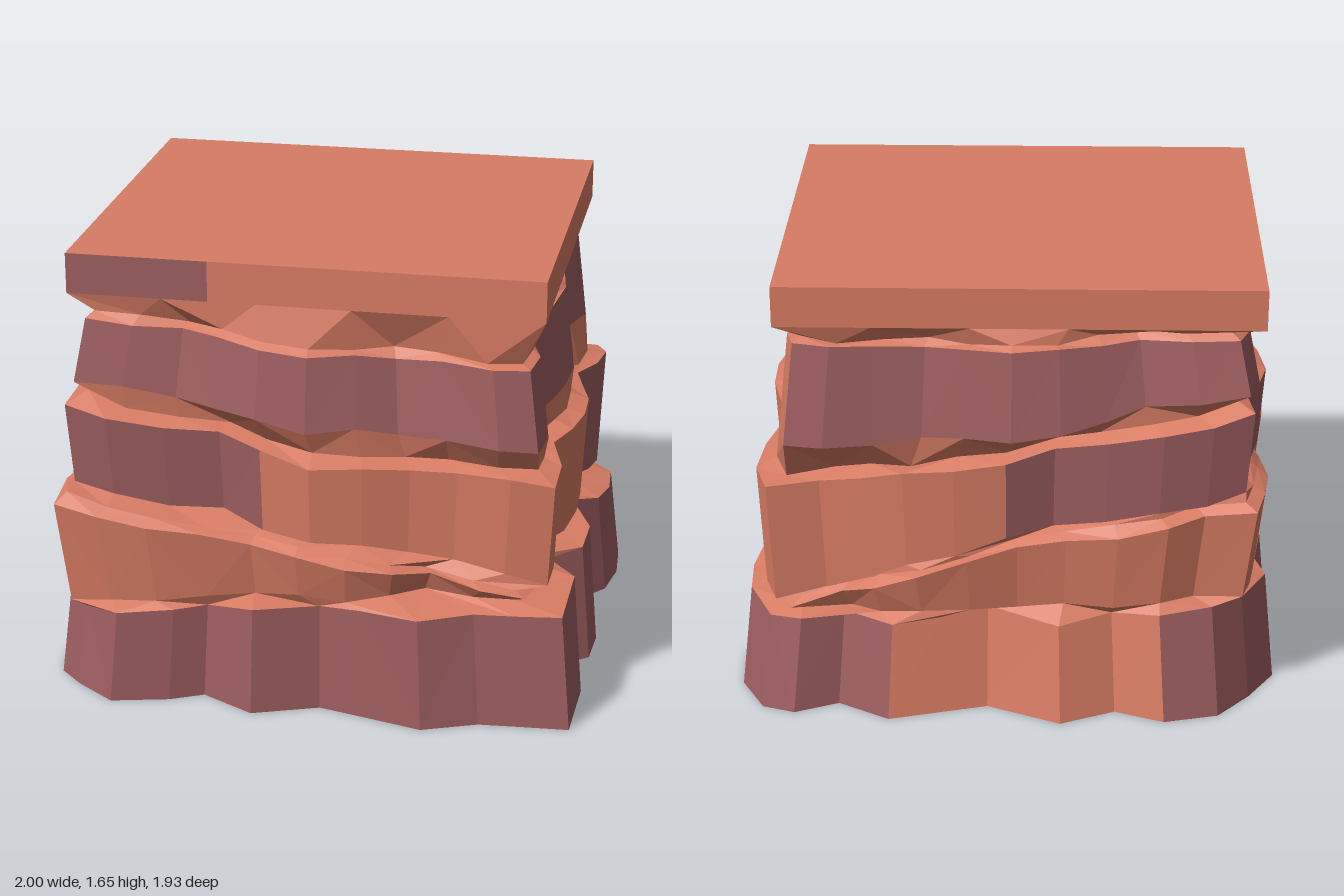
import * as THREE from 'three';

const N = 40; // points round the block, ten per side, starting at the front corner on -x
const orange = new THREE.MeshStandardMaterial({ color: 0xd87c64, flatShading: true, side: THREE.DoubleSide });
const purple = new THREE.MeshStandardMaterial({ color: 0x9e5e60, flatShading: true, side: THREE.DoubleSide });

// Footprint at the ground, x and z in turn
const foot = [
  -.88, .84, -.73, .95, -.52, .90, -.40, .84, -.20, .95, .04, .86, .20, .90, .43, .96, .63, .88, .78, .87,
  .96, .86, .97, .55, .85, .37, .97, .27, .98, .10, .92, -.03, .87, -.22, .97, -.35, 1, -.52, .99, -.70,
  .90, -.87, .78, -.91, .62, -.84, .43, -.95, .25, -.90, .07, -.85, -.20, -.97, -.40, -.88, -.58, -.95, -.78, -.90,
  -.90, -.76, -1, -.60, -.94, -.40, -1, -.23, -.96, -.08, -.91, .05, -1, .27, -.91, .40, -1, .60, -.97, .75];

let seed = 11;
const rand = () => (seed = (seed * 16807) % 2147483647) / 2147483647;
const jitter = (a) => (rand() - 0.5) * 2 * a;

// Value at point i from eight keys: corner, side middle, corner, ...
function keyed(keys, i) {
  const k = i / 5, a = Math.floor(k);
  return THREE.MathUtils.lerp(keys[a], keys[(a + 1) % 8], k - a);
}

// Point i on a rectangle [x0, x1, z0, z1], moved inward by depth
function onRect([x0, x1, z0, z1], i, depth) {
  const side = Math.floor(i / 10), t = (i % 10) / 10, mix = THREE.MathUtils.lerp;
  const X0 = x0 + depth, X1 = x1 - depth, Z0 = z0 + depth, Z1 = z1 - depth;
  return [[mix(X0, X1, t), Z1], [X1, mix(Z1, Z0, t)], [mix(X1, X0, t), Z0], [X0, mix(Z0, Z1, t)]][side];
}

function ring(fn) {
  return Array.from({ length: N }, (_, i) => fn(i));
}

// Band of faces between two rings; isDark picks which columns are purple
function addBand(group, name, low, high, isDark) {
  const parts = { Purple: [], Orange: [] };
  for (let i = 0; i < N; i++) {
    const j = (i + 1) % N, a = low[i], b = low[j], c = high[j], d = high[i];
    const tris = i % 2 ? [a, b, c, a, c, d] : [a, b, d, b, c, d];
    parts[isDark(i) ? 'Purple' : 'Orange'].push(...tris.flat());
  }
  for (const [tone, pos] of Object.entries(parts)) {
    if (!pos.length) continue;
    const geo = new THREE.BufferGeometry();
    geo.setAttribute('position', new THREE.Float32BufferAttribute(pos, 3));
    geo.computeVertexNormals();
    const mesh = new THREE.Mesh(geo, tone === 'Purple' ? purple : orange);
    mesh.name = name + tone;
    group.add(mesh);
  }
}

// Tilted strata above the base; keyed values run round from the front -x corner
const strata = [
  { name: 'lowerStratum', rect: [-1, .92, -.95, .95], lobes: 4.3, phase: 0.4, lean: [.04, 0], step: .04,
    inset: [.02, .02, .10, .07, .08, .01, .06, .01],
    bottom: [.36, .44, .46, .48, .37, .41, .45, .40], top: [.76, .61, .48, .50, .39, .67, .82, .80],
    dark: () => false },
  { name: 'middleStratum', rect: [-.98, .98, -.92, .86], lobes: 4.6, phase: 1.1, lean: [.02, 0], step: .07,
    inset: [.03, .01, .07, .05, .07, .01, .06, 0],
    bottom: [.79, .65, .52, .55, .40, .69, .87, .85], top: [1.11, .95, .91, .95, .87, 1.0, 1.19, 1.15],
    dark: (i) => i < 4 || i >= 25 || i === 17 || i === 18 },
  { name: 'upperStratum', rect: [-.93, .89, -.93, .82], lobes: 5.2, phase: 2.0, lean: [0, .04], step: .03,
    inset: [.02, 0, .04, .03, .05, .02, .03, 0],
    bottom: [1.19, 1.07, 1.03, 1.05, 1.05, 1.10, 1.27, 1.22], top: [1.42, 1.34, 1.31, 1.38, 1.42, 1.42, 1.47, 1.45],
    dark: (i) => i !== 19 },
];

export function createModel() {
  const rock = new THREE.Group();
  rock.name = 'layeredRock';
  const never = () => false;

  // Flared base, open underneath
  const baseTop = [.34, .41, .45, .47, .35, .38, .42, .39];
  const ground = ring((i) => [foot[2 * i], 0, foot[2 * i + 1]]);
  const shoulder = ring((i) => {
    const z = foot[2 * i + 1];
    return [foot[2 * i] * .96, keyed(baseTop, i) + jitter(.02), z * (z < 0 ? .93 : .98)];
  });
  addBand(rock, 'base', ground, shoulder, (i) => i < 23 || i > 27);

  // Each stratum is a ledge, a lobed wall and a shallow recess under the next one
  let last = shoulder;
  for (const s of strata) {
    const depth = ring((i) => keyed(s.inset, i) + rand() * .02
      + (i % 10 ? .085 * (1 - Math.abs(Math.sin(Math.PI * i / s.lobes + s.phase))) : .03));
    const wall = (keys, lean, lift) => ring((i) => {
      const [x, z] = onRect(s.rect, i, depth[i] + lean);
      return [x, keyed(keys, i) + lift + jitter(.012), z];
    });
    const low = wall(s.bottom, s.lean[0], 0), high = wall(s.top, s.lean[1], 0);
    const inner = wall(s.top, s.lean[1] + s.step, .02);
    addBand(rock, `${s.name}Underside`, last, low, never);
    addBand(rock, `${s.name}Wall`, low, high, s.dark);
    addBand(rock, `${s.name}Ledge`, high, inner, never);
    last = inner;
  }

  // Neck and cap sides, the cap purple on its -x side
  const [neck, rim] = [1.5, 1.65].map((y) => ring((i) => {
    const [x, z] = onRect([-.91, .82, -.813, .707], i, 0);
    return [x, y, z];
  }));
  addBand(rock, 'neck', last, neck, never);
  addBand(rock, 'capSide', neck, rim, (i) => i < 3 || i >= 30);

  // Flat top
  const top = new THREE.Mesh(new THREE.PlaneGeometry(1.73, 1.52).rotateX(-Math.PI / 2), orange);
  top.name = 'flatTop';
  top.position.set(-.045, 1.65, -.053);
  rock.add(top);
  return rock;
}
